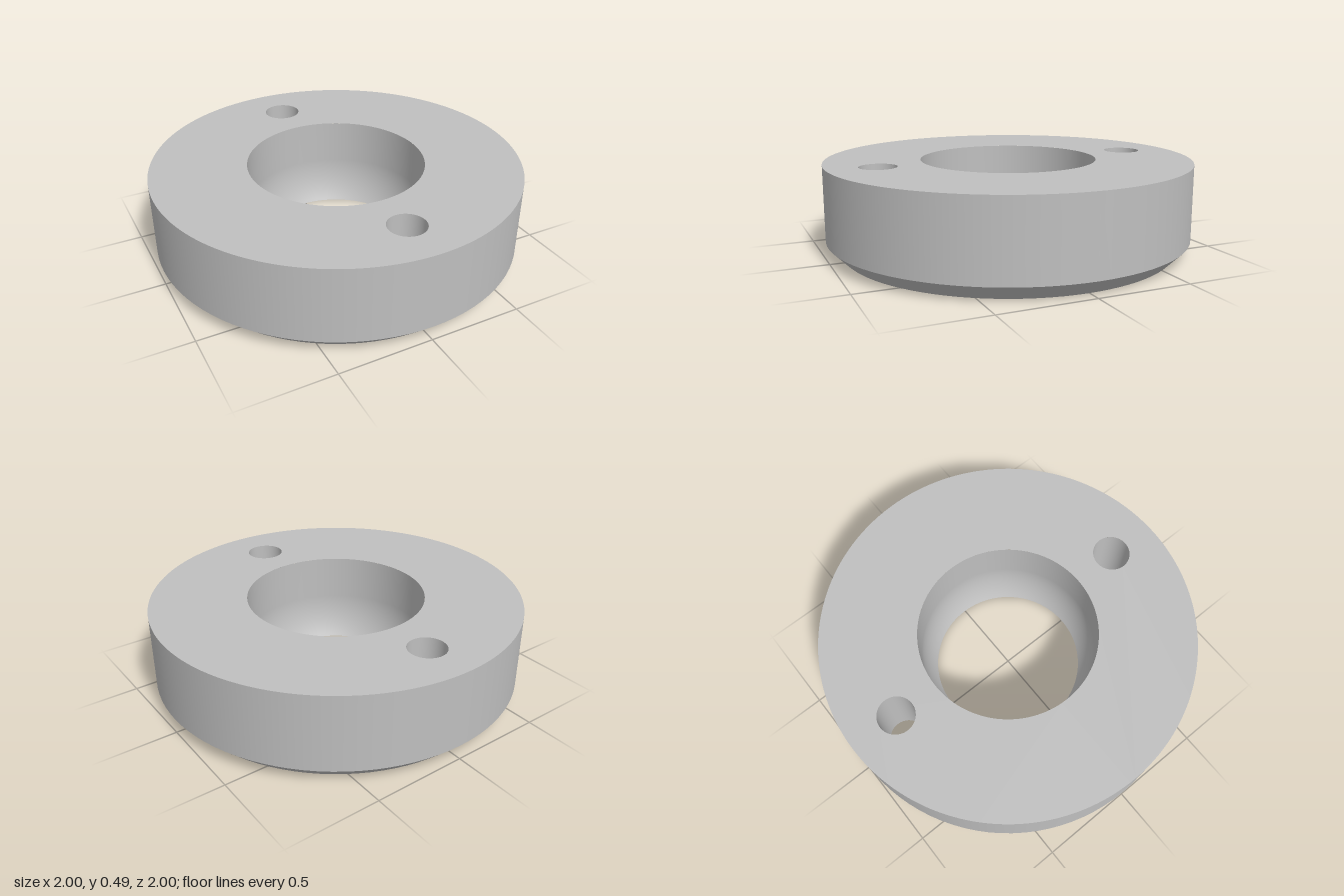
import * as THREE from 'three';

const SEG = 96;
const HEIGHT = 0.49, RADIUS = 1, CHAMFER = 0.08;
const BORE = 0.48, HOLE = 0.1, HOLE_Z = 0.73;
const SEAT_Y = HEIGHT / 2; // centre of the spherical seat
const BORE_BOTTOM = Math.sqrt(BORE * BORE - SEAT_Y * SEAT_Y);

export function createModel() {
  const group = new THREE.Group();
  group.name = 'seatRing';
  const steel = new THREE.MeshStandardMaterial({ color: 0xbfbfbf });
  steel.name = 'grey steel';

  const add = (name, geometry) => {
    const mesh = new THREE.Mesh(geometry, steel);
    mesh.name = name;
    group.add(mesh);
    return mesh;
  };
  // Profiles running upward face outward, downward face inward
  const lathe = (points) =>
    new THREE.LatheGeometry(points.map(([r, y]) => new THREE.Vector2(r, y)), SEG);

  // Flat annular face with the bore and both pin holes cut out
  const face = (outer, inner) => {
    const shape = new THREE.Shape().absarc(0, 0, outer, 0, Math.PI * 2, false);
    for (const [y, r] of [[0, inner], [HOLE_Z, HOLE], [-HOLE_Z, HOLE]]) {
      shape.holes.push(new THREE.Path().absarc(0, y, r, 0, Math.PI * 2, true));
    }
    return new THREE.ShapeGeometry(shape, SEG);
  };
  add('topFace', face(RADIUS, BORE).rotateX(-Math.PI / 2)).position.y = HEIGHT;
  add('bottomFace', face(RADIUS - CHAMFER, BORE_BOTTOM).rotateX(Math.PI / 2));

  // Outer rim and its lower chamfer
  add('outerWall', lathe([[RADIUS, CHAMFER], [RADIUS, HEIGHT]]));
  add('lowerChamfer', lathe([[RADIUS - CHAMFER, 0], [RADIUS, CHAMFER]]));

  // Bore: straight upper half blending into a spherical seat
  const bore = [[BORE, HEIGHT]];
  const sweep = Math.asin(SEAT_Y / BORE);
  for (let i = 0; i <= 16; i++) {
    const a = (sweep * i) / 16;
    bore.push([BORE * Math.cos(a), SEAT_Y - BORE * Math.sin(a)]);
  }
  add('sphericalBore', lathe(bore));

  // Pin hole walls
  for (const [name, side] of [['frontPinHole', 1], ['backPinHole', -1]]) {
    add(name, lathe([[HOLE, HEIGHT], [HOLE, 0]])).position.z = side * HOLE_Z;
  }
  return group;
}
